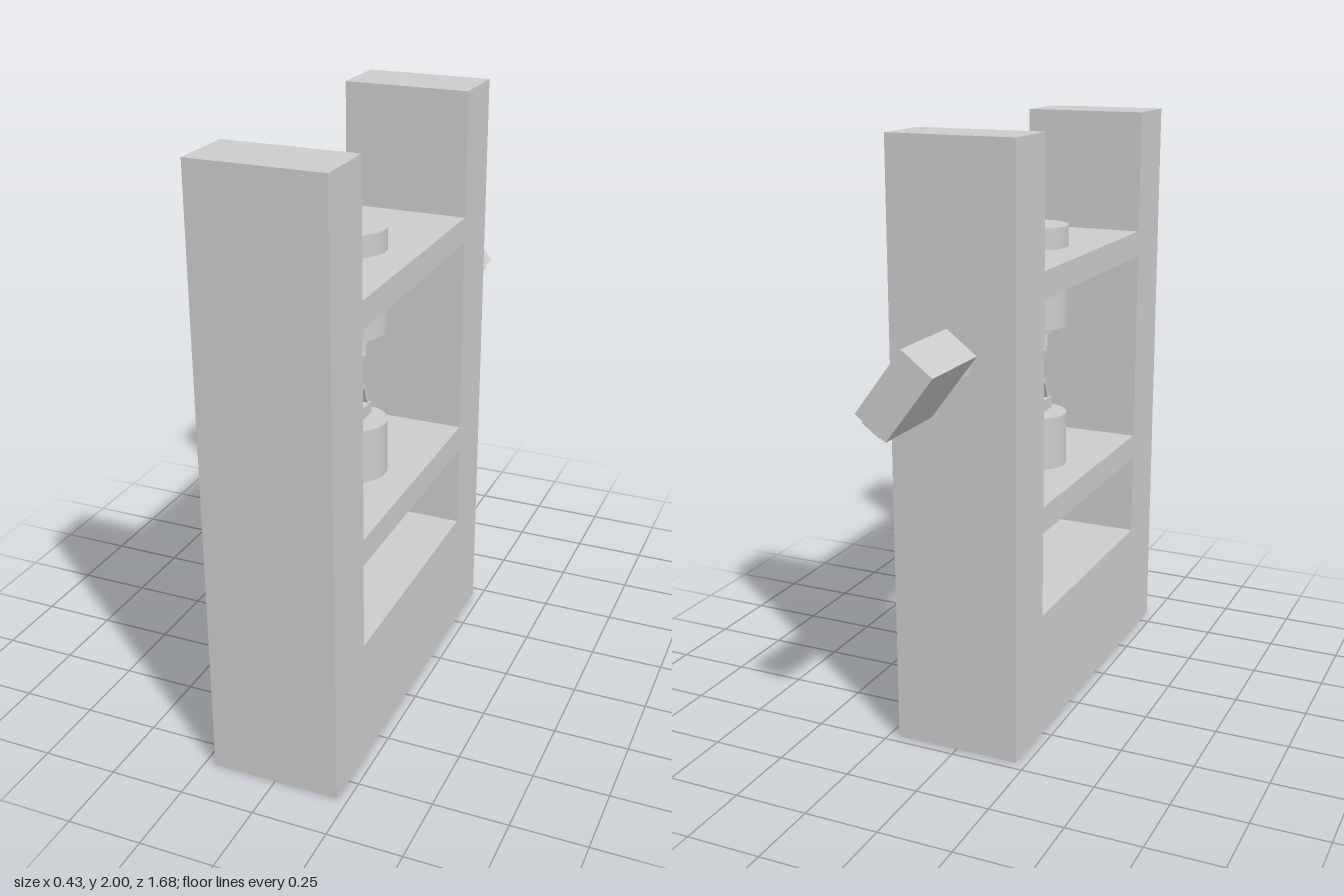
import * as THREE from 'three';

const material = new THREE.MeshStandardMaterial({ color: 0xcccccc });

function add(parent, name, geometry, x = 0, y = 0, z = 0) {
  const mesh = new THREE.Mesh(geometry, material);
  mesh.name = name;
  mesh.position.set(x, y, z);
  parent.add(mesh);
  return mesh;
}

// Closed outline drawn in (z, y), extruded across x and centred on x = 0
function sideProfile(points, width) {
  const shape = new THREE.Shape(points.map(([z, y]) => new THREE.Vector2(-z, y)));
  const geometry = new THREE.ExtrudeGeometry(shape, { depth: width, bevelEnabled: false });
  geometry.translate(0, 0, -width / 2);
  geometry.rotateY(Math.PI / 2);
  return geometry;
}

// Cylinder with block and two claws, pointing up from its own base
function makeGripper(name) {
  const gripper = new THREE.Group();
  gripper.name = name;
  add(gripper, 'gripperCylinder', new THREE.CylinderGeometry(0.108, 0.108, 0.345, 40), 0, 0.1725, 0);
  add(gripper, 'gripperBlock', new THREE.BoxGeometry(0.065, 0.04, 0.127), 0, 0.365, 0);
  for (const s of [-1, 1]) {
    const outline = [[0.062, 0], [0.033, 0.069], [0.02, 0.069], [0.02, 0.057], [0.026, 0.052], [0.047, 0]];
    add(gripper, 'claw', sideProfile(outline.map(([z, y]) => [z * s, y]), 0.05), 0, 0.385, 0);
  }
  return gripper;
}

export function createModel() {
  const model = new THREE.Group();
  model.name = 'testingFrame';
  const width = 0.43;

  // U-shaped frame: base with a front and a back column
  add(model, 'frame', sideProfile([
    [0.84, 0], [0.84, 2], [0.62, 2], [0.62, 0.43],
    [-0.25, 0.43], [-0.25, 2], [-0.465, 2], [-0.465, 0],
  ], width));

  // Crossheads
  for (const [name, y] of [['lowerCrosshead', 0.765], ['upperCrosshead', 1.535]]) {
    add(model, name, new THREE.BoxGeometry(width, 0.09, 0.867), 0, y, 0.1835);
  }

  // Facing pair of grippers
  const lower = makeGripper('lowerGripper');
  lower.position.set(0, 0.65, 0.187);
  const upper = makeGripper('upperGripper');
  upper.position.set(0, 1.652, 0.187);
  upper.rotation.z = Math.PI;
  model.add(lower, upper);

  // Tilted control box on a short arm behind the back column
  add(model, 'arm', new THREE.BoxGeometry(0.111, 0.055, 0.1), -0.011, 1.318, -0.51);
  const control = new THREE.Group();
  control.name = 'controlBox';
  control.position.set(-0.0025, 1.305, -0.6975);
  control.rotation.z = -0.927;
  add(control, 'controlBody', new THREE.BoxGeometry(0.256, 0.124, 0.285));
  add(control, 'controlPanel', new THREE.BoxGeometry(0.03, 0.07, 0.256), 0.127, 0, 0);
  model.add(control);

  return model;
}
